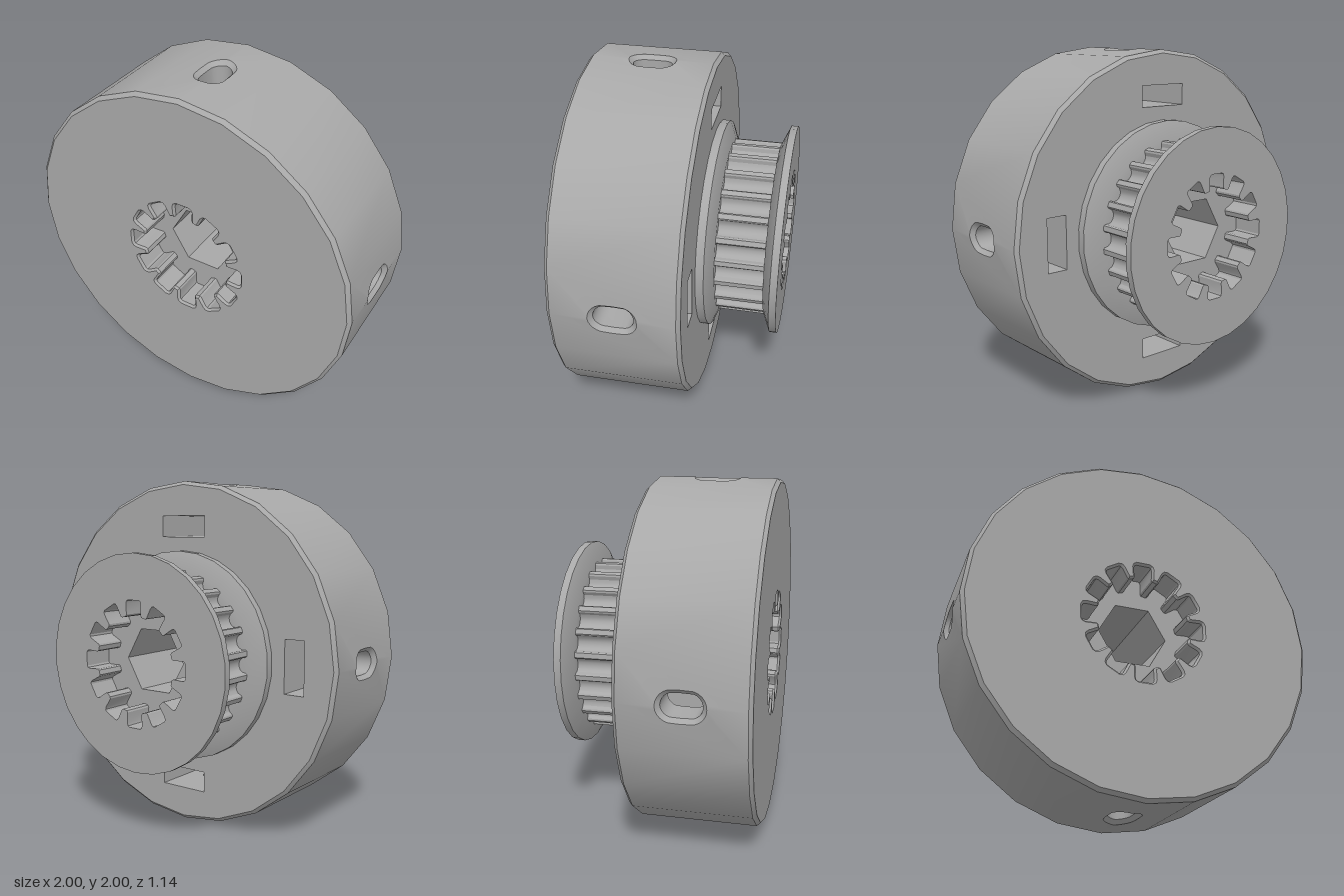
import * as THREE from 'three';
import { mergeGeometries, toCreasedNormals } from 'three/addons/utils/BufferGeometryUtils.js';

const FRONT = 0.57, BACK = -0.13, END = -0.57;   // disc front, disc back, pulley end
const FLOOR = 0.39;                              // depth of both splined pockets
const TRAP_IN = 0.685, TRAP_OUT = 0.805, TRAP_HALF = 0.15, TRAP_DEEP = 0.37;

// ---- 2D loops, counter-clockwise [x, y] ----
const circle = (r, n, phase = 0) => Array.from({ length: n }, (_, i) => {
  const a = phase + (i / n) * Math.PI * 2;
  return [r * Math.cos(a), r * Math.sin(a)];
});

// repeat a small [radial, tangential] profile around the axis
function gear(profile, n) {
  const out = [];
  for (let i = 0; i < n; i++) {
    const a = (i / n) * Math.PI * 2, c = Math.cos(a), s = Math.sin(a);
    for (const [r, u] of profile) out.push([r * c - u * s, r * s + u * c]);
  }
  return out;
}

const mirrored = (half) => [...half.map(([r, u]) => [r, -u]), ...[...half].reverse()];

// grow a loop outward by d
function offset(loop, d) {
  const n = loop.length;
  return loop.map((p, i) => {
    const a = loop[(i + n - 1) % n], b = loop[(i + 1) % n];
    const dx = b[0] - a[0], dy = b[1] - a[1], l = Math.hypot(dx, dy);
    return [p[0] + (dy / l) * d, p[1] - (dx / l) * d];
  });
}

// rounded slot: r = end radius, 24 points starting at angle -90
const slot = (r) => Array.from({ length: 24 }, (_, i) => {
  const a = -Math.PI / 2 + (i / 24) * Math.PI * 2;
  const x = i % 12 === 0 ? 0 : r * Math.cos(a);
  const side = i % 12 === 6 ? 0 : Math.sign(Math.sin(a));
  return [x, 0.22 + side * 0.042 + r * Math.sin(a)];
});

// ---- surfaces ----
const at = (loop, z) => loop.map(([x, y]) => [x, y, z]);

// skin between loops: falling z faces outward, rising z faces inward
function loft(loops, closed = true) {
  const n = loops[0].length, index = [];
  for (let k = 0; k + 1 < loops.length; k++) {
    for (let i = 0; i < (closed ? n : n - 1); i++) {
      const j = (i + 1) % n, a = k * n, b = a + n;
      index.push(a + i, b + i, b + j, a + i, b + j, a + j);
    }
  }
  const g = new THREE.BufferGeometry();
  g.setAttribute('position', new THREE.Float32BufferAttribute(loops.flat(2), 3));
  g.setIndex(index);
  return g;
}

// flat plate with holes, facing +z, or -z when flipped
function plate(outline, holes, z, flip = false) {
  const pts = (l) => l.map(([x, y]) => new THREE.Vector2(x, y));
  const shape = new THREE.Shape(pts(outline));
  shape.holes = holes.map((h) => new THREE.Path(pts(h)));
  const g = new THREE.ShapeGeometry(shape);
  g.deleteAttribute('uv');
  g.deleteAttribute('normal');
  g.translate(0, 0, z);
  if (flip) g.setIndex([...g.index.array].reverse());
  return g;
}

// place geometry built as (tangent, axis, radial) at an angle around the axis
function around(g, a) {
  const c = Math.cos(a), s = Math.sin(a);
  return g.clone().applyMatrix4(new THREE.Matrix4().makeBasis(
    new THREE.Vector3(-s, c, 0), new THREE.Vector3(0, 0, 1), new THREE.Vector3(c, s, 0)));
}

export function createModel() {
  const group = new THREE.Group();
  const grey = new THREE.MeshStandardMaterial({ color: 0xa8a8a8 });
  grey.name = 'grey';

  const add = (name, ...parts) => {
    const big = mergeGeometries(parts).scale(100, 100, 100);
    const mesh = new THREE.Mesh(toCreasedNormals(big, 0.5).scale(0.01, 0.01, 0.01), grey);
    mesh.name = name;
    mesh.position.y = 1;
    group.add(mesh);
  };

  const quarters = [0, 1, 2, 3].map((i) => (i * Math.PI) / 2);
  const disc = circle(1, 24), discEdge = circle(0.98, 24);
  const hex = circle(0.2, 6);
  const spline = gear(mirrored([[0.262, 0.056], [0.272, 0.05], [0.333, 0.053], [0.347, 0.049], [0.353, 0.039]]), 12);
  const splineMouth = offset(spline, 0.012);
  const lo = BACK + 0.02, hi = FRONT - 0.02;

  // Rim: plain facets plus four slotted panels, each folded along its middle
  const rim = [
    loft([at(discEdge, FRONT), at(disc, hi)]),
    loft([at(disc, lo), at(discEdge, BACK)]),
  ];
  const fold = Math.tan(Math.PI / 24), wide = Math.sin(Math.PI / 12);
  const mouth = slot(0.088), bore = slot(0.065);
  const half = [[0, lo], [wide, lo], [wide, hi], [0, hi], ...mouth.slice(0, 13).reverse()];
  const panels = [half, half.map(([x, y]) => [-x, y])].map((outline) => {
    const g = plate(outline, [], 0), p = g.attributes.position;
    for (let i = 0; i < p.count; i++) p.setZ(i, 1 - Math.abs(p.getX(i)) * fold);
    return g;
  });
  quarters.forEach((a, q) => {
    rim.push(...panels.map((g) => around(g, a)));
    const arc = disc.slice(q * 6 + 1, q * 6 + 6);
    rim.push(loft([at(arc, hi), at(arc, lo)], false));
  });
  add('rim', ...rim);

  // Screw slots in the rim, each opening into a nut pocket
  const onRim = (loop, drop) => loop.map(([x, y]) => [x, y, 1 - Math.abs(x) * fold - drop]);
  const screwSlot = loft([at(bore, TRAP_OUT), onRim(bore, 0.025), onRim(mouth, 0)]);
  const trap = [[TRAP_HALF, BACK], [TRAP_HALF, TRAP_DEEP], [-TRAP_HALF, TRAP_DEEP], [-TRAP_HALF, BACK]];
  const nutPocket = mergeGeometries([
    loft([at(trap, TRAP_IN), at(trap, TRAP_OUT)], false),
    plate(trap, [], TRAP_IN),
    plate(trap, [bore], TRAP_OUT, true),
  ]);
  add('screwSlots', ...quarters.map((a) => around(screwSlot, a)));
  add('nutPockets', ...quarters.map((a) => around(nutPocket, a)));

  // Disc faces
  const trapMouths = quarters.map((a) => {
    const c = Math.cos(a), s = Math.sin(a);
    return [[TRAP_IN, -TRAP_HALF], [TRAP_OUT, -TRAP_HALF], [TRAP_OUT, TRAP_HALF], [TRAP_IN, TRAP_HALF]]
      .map(([r, u]) => [r * c - u * s, r * s + u * c]);
  });
  add('discFront', plate(discEdge, [splineMouth], FRONT));
  add('discBack', plate(discEdge, [circle(0.55, 30), ...trapMouths], BACK, true));

  // Bore: splined pocket at each end, hexagonal hole between them
  add('frontSpline', loft([at(spline, FLOOR), at(spline, FRONT - 0.012), at(splineMouth, FRONT)]),
    plate(spline, [hex], FLOOR));
  add('backSpline', loft([at(spline, END), at(spline, -FLOOR)]), plate(spline, [hex], -FLOOR, true));
  add('hexBore', loft([at(hex, -FLOOR), at(hex, FLOOR)]));

  // Pulley: two bevelled flanges with a toothed drum between
  const ring = ([r, z]) => at(circle(r, 30, Math.PI / 2), z);
  add('innerFlange', loft([[0.607, BACK], [0.607, -0.175], [0.505, -0.215], [0.44, -0.215]].map(ring)));
  add('outerFlange', loft([[0.44, -0.485], [0.505, -0.485], [0.607, -0.53], [0.607, END]].map(ring)),
    plate(circle(0.607, 30, Math.PI / 2), [spline], END, true));
  const groove = mirrored([[0.502, 0.052], [0.494, 0.044], [0.472, 0.04], [0.456, 0.027], [0.449, 0.01]]);
  const teeth = gear(groove, 24);
  add('pulleyTeeth', loft([at(teeth, -0.215), at(teeth, -0.485)]));

  return group;
}
